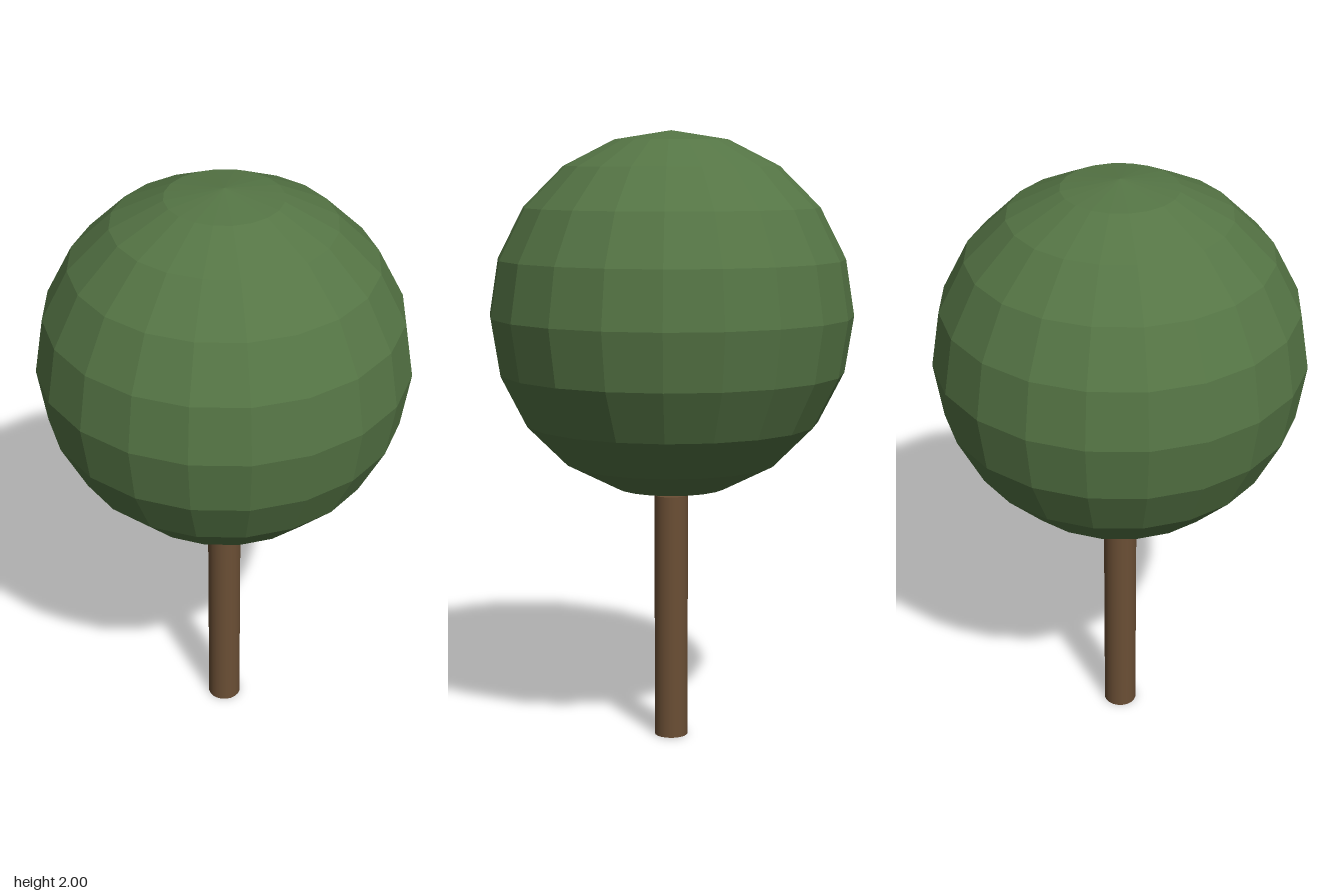
import * as THREE from 'three';

export function createModel() {
  const model = new THREE.Group();
  model.name = 'tree';

  const leafGreen = new THREE.MeshStandardMaterial({ color: 0x557545, flatShading: true });
  leafGreen.name = 'leafGreen';
  const barkBrown = new THREE.MeshStandardMaterial({ color: 0x6b4f35 });
  barkBrown.name = 'barkBrown';

  const crownRadius = 0.592;
  const trunkHeight = 2 - 2 * crownRadius;

  // Faceted round crown
  const crown = new THREE.Mesh(new THREE.SphereGeometry(crownRadius, 20, 10), leafGreen);
  crown.name = 'crown';
  crown.position.y = 2 - crownRadius;

  // Smooth straight trunk reaching the underside of the crown
  const trunk = new THREE.Mesh(new THREE.CylinderGeometry(0.055, 0.055, trunkHeight, 20), barkBrown);
  trunk.name = 'trunk';
  trunk.position.y = trunkHeight / 2;

  model.add(crown, trunk);
  return model;
}
